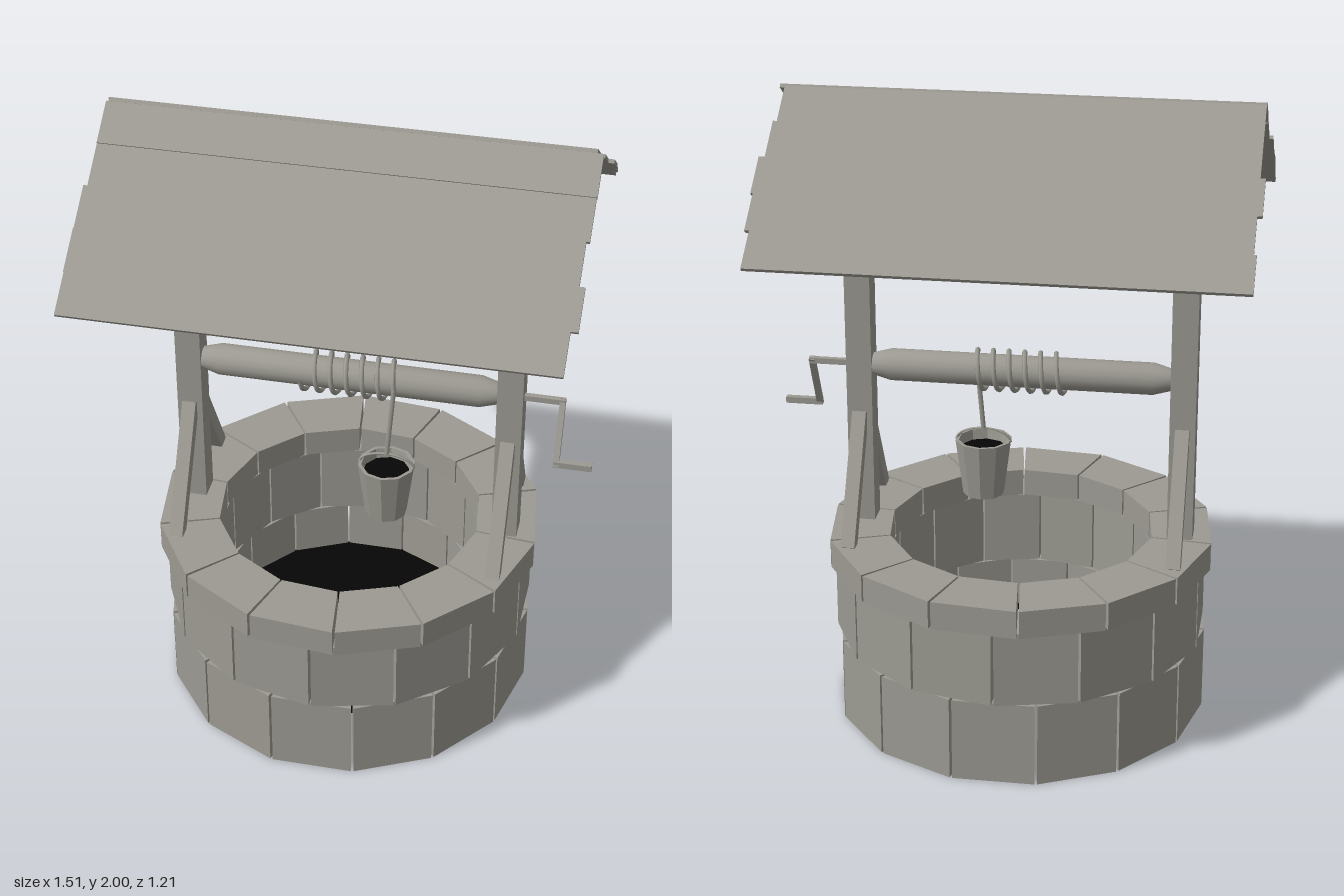
import * as THREE from 'three';
import { toCreasedNormals } from 'three/addons/utils/BufferGeometryUtils.js';

export function createModel() {
  const root = new THREE.Group();
  root.name = 'wishingWell';
  const grey = new THREE.MeshStandardMaterial({ color: 0x9c9a92 });
  grey.name = 'weatheredGrey';
  const dark = new THREE.MeshStandardMaterial({ color: 0x060606, side: THREE.DoubleSide });
  dark.name = 'darkWater';

  const CX = -0.02; // centre line of the well
  const V = (x, y, z) => new THREE.Vector3(x, y, z);

  function add(name, geometry, x = 0, y = 0, z = 0, parent = root, material = grey) {
    const mesh = new THREE.Mesh(geometry, material);
    mesh.name = name;
    mesh.position.set(x, y, z);
    parent.add(mesh);
    return mesh;
  }
  const box = (name, w, h, d, x, y, z, parent) =>
    add(name, new THREE.BoxGeometry(w, h, d), x, y, z, parent);

  // Square beam between two points in a plane of constant x
  function beam(name, x, width, thick, y0, z0, y1, z1) {
    const m = box(name, width, thick, Math.hypot(y1 - y0, z1 - z0), x, (y0 + y1) / 2, (z0 + z1) / 2);
    m.rotation.x = -Math.atan2(y1 - y0, z1 - z0);
    return m;
  }

  // Stone courses: rings of wedge-shaped blocks with narrow joints
  const COUNT = 14, STEP = (Math.PI * 2) / COUNT;
  function course(name, outer, inner, y, height, offset) {
    const ring = new THREE.Group();
    ring.name = name;
    ring.position.set(CX, y, 0);
    root.add(ring);
    for (let i = 0; i < COUNT; i++) {
      const a = offset + i * STEP + 0.007, b = offset + (i + 1) * STEP - 0.007;
      const at = (r, t) => new THREE.Vector2(r * Math.sin(t), -r * Math.cos(t));
      const shape = new THREE.Shape([at(outer, a), at(inner, a), at(inner, b), at(outer, b)]);
      const g = new THREE.ExtrudeGeometry(shape, { depth: height, bevelEnabled: false });
      add('stone', g.rotateX(-Math.PI / 2), 0, 0, 0, ring);
    }
  }
  course('lowerCourse', 0.59, 0.425, 0, 0.27, STEP / 2);
  course('middleCourse', 0.59, 0.425, 0.27, 0.24, 0);
  course('copingCourse', 0.61, 0.42, 0.51, 0.09, 0.131);
  add('water', new THREE.CircleGeometry(0.43, 28).rotateX(-Math.PI / 2), CX, 0.1, 0, root, dark);

  // Timber frames at both ends
  for (const s of [-1, 1]) {
    const x = CX + s * 0.506;
    box('post', 0.08, 1.03, 0.08, x, 1.115, 0);
    box('tieBeam', 0.08, 0.067, 0.89, x, 1.642, 0);
    for (const f of [-1, 1]) {
      beam('brace', x, 0.044, 0.045, 0.595, f * 0.25, 0.965, f * 0.033);
      beam('rafter', x, 0.065, 0.052, 1.668, f * 0.4, 1.95, 0);
    }
  }
  box('ridgeBeam', 1.34, 0.06, 0.06, CX, 1.952, 0);

  // Roof: five planks on each slope with uneven ends
  const SLOPE = Math.atan2(0.39, 0.55), WIDTH = 0.674 / 5, THICK = 0.012;
  const frontEnds = [[-0.743, 0.715], [-0.743, 0.713], [-0.755, 0.703], [-0.757, 0.72], [-0.755, 0.698]];
  const backEnds = [[-0.742, 0.695], [-0.742, 0.707], [-0.757, 0.725], [-0.742, 0.718], [-0.75, 0.704]];
  for (const [s, ends] of [[1, frontEnds], [-1, backEnds]]) {
    const roof = new THREE.Group();
    roof.name = s > 0 ? 'frontRoof' : 'backRoof';
    roof.position.set(0, 2, s * 0.012);
    roof.rotation.x = s * SLOPE;
    root.add(roof);
    ends.forEach(([l, r], i) => {
      const lift = s > 0 && i > 0 ? -0.004 : 0;
      box('roofPlank', r - l, THICK, WIDTH, (l + r) / 2, lift - THICK / 2, s * (i + 0.5) * WIDTH, roof);
    });
  }

  // Windlass drum with tapered ends
  const Y = 1.12;
  const profile = [[0, -0.468], [0.034, -0.468], [0.05, -0.41], [0.05, 0.41], [0.034, 0.468], [0, 0.468]]
    .map(([r, h]) => new THREE.Vector2(r, h));
  const drum = toCreasedNormals(new THREE.LatheGeometry(profile, 16), 0.6);
  add('drum', drum.rotateZ(-Math.PI / 2), CX, Y, 0);

  // Rope wound around the drum, then hanging to the bucket
  const BX = 0.113, BZ = 0.075, TURNS = 6, R = 0.061;
  const coil = [];
  for (let i = 0; i <= TURNS * 12; i++) {
    const t = Math.PI / 2 + (i / 12) * Math.PI * 2;
    coil.push(V(-0.165 + (0.295 * i) / (TURNS * 12), Y + R * Math.cos(t), R * Math.sin(t)));
  }
  add('ropeCoil', new THREE.TubeGeometry(new THREE.CatmullRomCurve3(coil), 200, 0.008, 6));
  add('hangingRope', new THREE.TubeGeometry(
    new THREE.LineCurve3(V(0.13, Y, R), V(BX, 0.89, BZ)), 1, 0.008, 6));

  // Bucket with a bail handle
  const bucket = new THREE.Group();
  bucket.name = 'bucket';
  bucket.position.set(BX, 0, BZ);
  root.add(bucket);
  const staves = [[0, 0.67], [0.066, 0.67], [0.09, 0.855], [0.079, 0.855], [0.074, 0.82]]
    .map(([r, h]) => new THREE.Vector2(r, h));
  add('bucketStaves', toCreasedNormals(new THREE.LatheGeometry(staves, 10), 0.1), 0, 0, 0, bucket);
  add('bucketWater', new THREE.CircleGeometry(0.076, 10).rotateX(-Math.PI / 2).rotateY(Math.PI / 10),
    0, 0.822, 0, bucket, dark);
  const bail = new THREE.TorusGeometry(0.086, 0.005, 6, 16, Math.PI).scale(1, 0.5, 1);
  add('bucketHandle', bail, 0, 0.848, 0, bucket);

  // Crank on the right-hand side
  const HY = 0.947, HZ = 0.085;
  box('crankAxle', 0.16, 0.018, 0.018, 0.572, Y, 0);
  beam('crankArm', 0.643, 0.018, 0.018, Y + 0.008, -0.004, HY - 0.008, HZ + 0.004);
  box('crankGrip', 0.118, 0.02, 0.02, 0.693, HY, HZ);

  return root;
}
